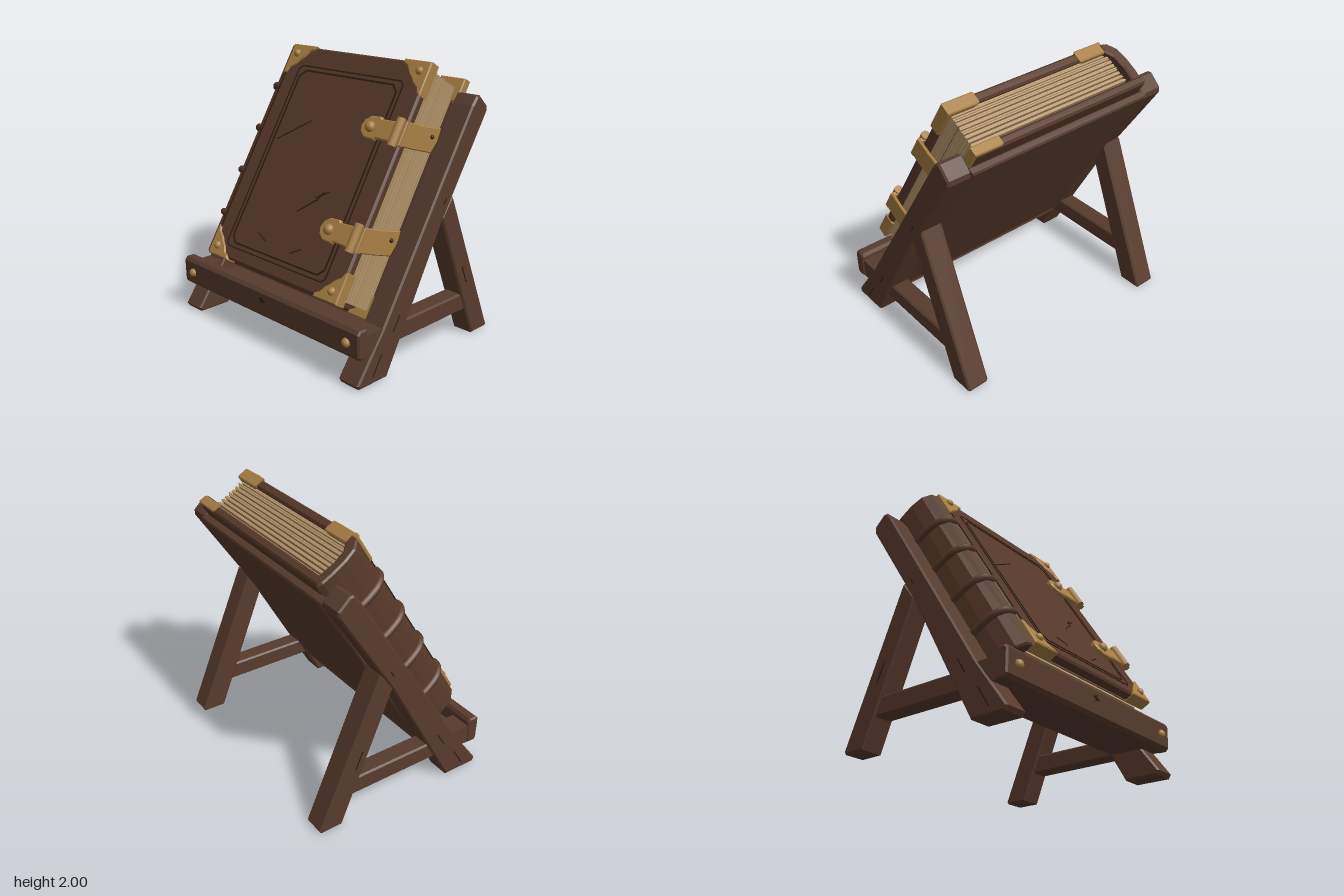
import * as THREE from 'three';

const mat = (name, color) => Object.assign(new THREE.MeshStandardMaterial({ color }), { name });

export function createModel() {
  const wood = mat('wood', 0x573b2d);
  const leather = mat('leather', 0x563828);
  const ink = mat('dark line', 0x2a1b13);
  const brass = mat('brass', 0xa67d43);
  const paper = mat('paper', 0xb5946a);
  const paperShade = mat('paper shade', 0x5c432f);

  const root = new THREE.Group();
  root.name = 'bookOnStand';
  const stand = new THREE.Group();
  stand.name = 'stand';
  // Everything that leans shares one tilted frame: y runs up the slope, z out of the cover
  const leaning = new THREE.Group();
  leaning.name = 'leaningPanel';
  const book = new THREE.Group();
  book.name = 'book';
  const tilt = THREE.MathUtils.degToRad(31.5);
  leaning.rotation.x = book.rotation.x = -tilt;
  root.add(stand, leaning, book);

  const add = (parent, name, geo, material, x = 0, y = 0, z = 0) => {
    const mesh = new THREE.Mesh(geo, material);
    mesh.name = name;
    mesh.position.set(x, y, z);
    parent.add(mesh);
    return mesh;
  };

  // Bevelled prism from an outline, centred along its depth
  const prism = (points, depth, bevel = 0.012) => {
    const shape = new THREE.Shape(points.map(([a, b]) => new THREE.Vector2(a, b)));
    const geo = new THREE.ExtrudeGeometry(shape, {
      depth: depth - 2 * bevel, bevelEnabled: bevel > 0, bevelThickness: bevel,
      bevelSize: bevel, bevelOffset: -bevel, bevelSegments: 1, curveSegments: 8,
    });
    return geo.translate(0, 0, -(depth - 2 * bevel) / 2);
  };
  // Prism whose outline is given as (z, y), with depth along x
  const sidePrism = (points, depth, bevel) => prism(points, depth, bevel).rotateY(-Math.PI / 2);
  // Bevelled box from its limits
  const block = (parent, name, material, x0, x1, y0, y1, z0, z1, bevel = 0.012) =>
    add(parent, name, prism([[x0, y0], [x1, y0], [x1, y1], [x0, y1]], z1 - z0, bevel),
      material, 0, 0, (z0 + z1) / 2);
  const rivet = (parent, x, y, z, r = 0.03) => {
    const geo = new THREE.SphereGeometry(r, 12, 6, 0, Math.PI * 2, 0, Math.PI / 2).rotateX(Math.PI / 2);
    add(parent, 'rivet', geo, brass, x, y, z);
  };
  // Thin dark stroke between two points on a flat face
  const stroke = (parent, name, x0, y0, x1, y1, z, width = 0.008) => {
    const geo = new THREE.BoxGeometry(Math.hypot(x1 - x0, y1 - y0), width, 0.006);
    add(parent, name, geo, ink, (x0 + x1) / 2, (y0 + y1) / 2, z)
      .rotation.z = Math.atan2(y1 - y0, x1 - x0);
  };

  // Stand sides: leaning upright, back leg, low rail
  for (const s of [-1, 1]) {
    const x = s * 0.845;
    add(stand, 'upright', sidePrism([
      [0.68, 0.03], [0.66, 0], [0.4, 0], [-0.13, 0.96], [-0.575, 1.65], [-0.575, 1.69],
      [-0.49, 1.77], [-0.46, 1.77], [-0.41, 1.71], [0.44, 0.36],
    ], 0.18), wood, x);
    add(stand, 'backLeg', sidePrism([
      [-0.13, 0.98], [-0.24, 1.12], [-0.71, 0.02], [-0.7, 0], [-0.53, 0],
    ], 0.17), wood, x);
    add(stand, 'sideRail', sidePrism([
      [0.46, 0.21], [-0.48, 0.21], [-0.44, 0.345], [0.2, 0.345], [0.4, 0.355],
    ], 0.14), wood, x);
    add(stand, 'railBlock', new THREE.BoxGeometry(0.16, 0.15, 0.2), wood, x, 0.285, 0.5);
    rivet(stand, s * 0.825, 0.31, 0.675, 0.034);
  }

  // Front lip, its shelf and the backing board
  add(stand, 'frontLip', sidePrism([
    [0.585, 0.22], [0.6, 0.205], [0.655, 0.205], [0.675, 0.23],
    [0.68, 0.39], [0.66, 0.415], [0.6, 0.415], [0.585, 0.39],
  ], 1.87), wood);
  block(stand, 'shelf', wood, -0.76, 0.76, 0.21, 0.29, 0.28, 0.6);
  block(leaning, 'backBoard', wood, -0.765, 0.765, 0.05, 1.75, 0.365, 0.425);
  stroke(stand, 'lipNick', -0.04, 0.35, 0.02, 0.33, 0.68, 0.012);
  stroke(stand, 'lipNick', -0.02, 0.315, 0.0, 0.36, 0.68);

  // Covers
  const front = 0.835;
  block(book, 'frontCover', leather, -0.63, 0.71, 0.11, 1.82, front - 0.07, front, 0.015);
  block(book, 'backCover', leather, -0.73, 0.745, 0.09, 1.865, 0.42, 0.485, 0.015);

  // Rounded spine shell with raised bands
  const outer = [[-0.62, 0.825], [-0.685, 0.81], [-0.735, 0.75], [-0.755, 0.65],
    [-0.757, 0.55], [-0.75, 0.46], [-0.73, 0.425]];
  const inner = [[-0.62, 0.44], [-0.67, 0.49], [-0.68, 0.6], [-0.665, 0.7], [-0.62, 0.76]];
  add(book, 'spine', prism([...outer, ...inner], 1.73, 0.012).rotateX(Math.PI / 2), leather, 0, 0.97, 0);
  const bandPath = new THREE.CatmullRomCurve3(outer.map(([x, z]) => new THREE.Vector3(x, 0, z)));
  for (const y of [0.43, 0.78, 1.13, 1.48])
    add(book, 'spineBand', new THREE.TubeGeometry(bandPath, 20, 0.028, 8), leather, 0, y, 0);
  stroke(book, 'hingeGroove', -0.618, 0.14, -0.618, 1.79, front + 0.001, 0.01);

  // Page block: uneven sheets in alternating tones
  let seed = 7;
  const rand = () => (seed = (seed * 16807) % 2147483647) / 2147483647;
  const sheets = 26, z0 = 0.485, step = (0.765 - z0) / sheets;
  for (let i = 0; i < sheets; i++) {
    const dark = i % 3 === 2;
    const inset = (dark ? 0.018 : 0) + rand() * 0.012;
    const geo = new THREE.BoxGeometry(1.35 - inset, 1.66 - 2 * inset, step);
    add(book, 'pages', geo, dark ? paperShade : paper, 0.02 - inset / 2, 0.97, z0 + (i + 0.5) * step);
  }

  // Tooled double border with notched corners, on the front cover
  for (const [l, r, b, t, gap, w] of [
    [-0.49, 0.545, 0.205, 1.665, 0.03, 0.009],
    [-0.455, 0.51, 0.24, 1.63, 0.05, 0.012],
  ]) {
    const z = front + 0.001;
    for (const y of [b, t]) stroke(book, 'borderLine', l + gap, y, r - gap, y, z, w);
    for (const x of [l, r]) stroke(book, 'borderLine', x, b + gap, x, t - gap, z, w);
    for (const [x, sx] of [[l, 1], [r, -1]])
      for (const [y, sy] of [[b, 1], [t, -1]])
        stroke(book, 'borderCorner', x + sx * gap, y, x, y + sy * gap, z, w);
  }
  // Scratches
  for (const [a, b, c, d] of [
    [-0.42, 1.07, -0.15, 1.26], [0.06, 0.6, 0.2, 0.72], [0.18, 0.73, 0.29, 0.8],
    [0.2, 0.71, 0.24, 0.79], [-0.22, 0.37, -0.12, 0.33], [0.15, 0.31, 0.24, 0.36],
  ]) stroke(book, 'scratch', a, b, c, d, front + 0.001, 0.007);

  // Brass corner caps wrapped round the cover edges
  const corner = (x, y, sx, sy, size, zBack, zFront) => {
    const outline = [[0, 0], [1, 0], [0.95, 0.13], [0.8, 0.2], [0.66, 0.4], [0.52, 0.52],
      [0.4, 0.66], [0.2, 0.8], [0.13, 0.95], [0, 1]];
    const geo = prism(outline.map(([a, b]) => [x + sx * a * size, y + sy * b * size]), zFront - zBack, 0.008);
    add(book, 'cornerCap', geo, brass, 0, 0, (zBack + zFront) / 2);
  };
  for (const [x, sx] of [[-0.638, 1], [0.718, -1]])
    for (const [y, sy, size] of [[0.102, 1, 0.225], [1.827, -1, 0.245]]) {
      corner(x, y, sx, sy, size, front - 0.08, front + 0.012);
      rivet(book, x + sx * 0.075, y + sy * 0.075, front + 0.01, 0.03);
    }
  for (const [y, sy] of [[0.082, 1], [1.873, -1]]) corner(0.753, y, -1, sy, 0.22, 0.425, 0.495);

  // Clasps: pointed tongue, hinge barrel and strap down the fore edge
  for (const y of [0.55, 1.3]) {
    const clasp = new THREE.Group();
    clasp.name = 'clasp';
    clasp.position.y = y;
    book.add(clasp);
    add(clasp, 'tongue', prism([
      [0.35, 0], [0.365, 0.045], [0.41, 0.08], [0.5, 0.085], [0.51, 0.07], [0.67, 0.075],
      [0.67, -0.075], [0.51, -0.07], [0.5, -0.085], [0.41, -0.08], [0.365, -0.045],
    ], 0.04, 0.008), brass, 0, 0, front + 0.015);
    rivet(clasp, 0.44, 0, front + 0.034, 0.04);
    add(clasp, 'hinge', new THREE.CylinderGeometry(0.032, 0.032, 0.2, 12), brass, 0.675, 0, front + 0.035);
    add(clasp, 'hingeLeaf', new THREE.BoxGeometry(0.06, 0.17, 0.03), brass, 0.71, 0, front + 0.02);
    const strap = add(clasp, 'strap', sidePrism([
      [0.04, -0.09], [0.04, 0.085], [-0.1, 0.115], [-0.28, 0.17], [-0.29, 0.08], [-0.27, -0.015], [-0.1, -0.06],
    ], 0.022, 0.006), brass, 0.73, 0, front);
    strap.rotation.y = -0.1;
    add(clasp, 'strapPin', new THREE.SphereGeometry(0.016, 8, 6), ink, 0.763, 0.085, front - 0.22);
  }

  // Wood grain cracks on the outer faces of the stand
  for (const s of [-1, 1])
    for (const [z, y, len] of [[0.32, 0.36, 0.12], [-0.15, 1.1, 0.05], [-0.4, 0.5, 0.14], [0.5, 0.12, 0.16]])
      add(stand, 'woodCrack', new THREE.BoxGeometry(0.004, len, 0.008), ink, s * 0.935, y, z)
        .rotation.x = z === -0.4 ? 0.4 : -tilt;

  return root;
}
